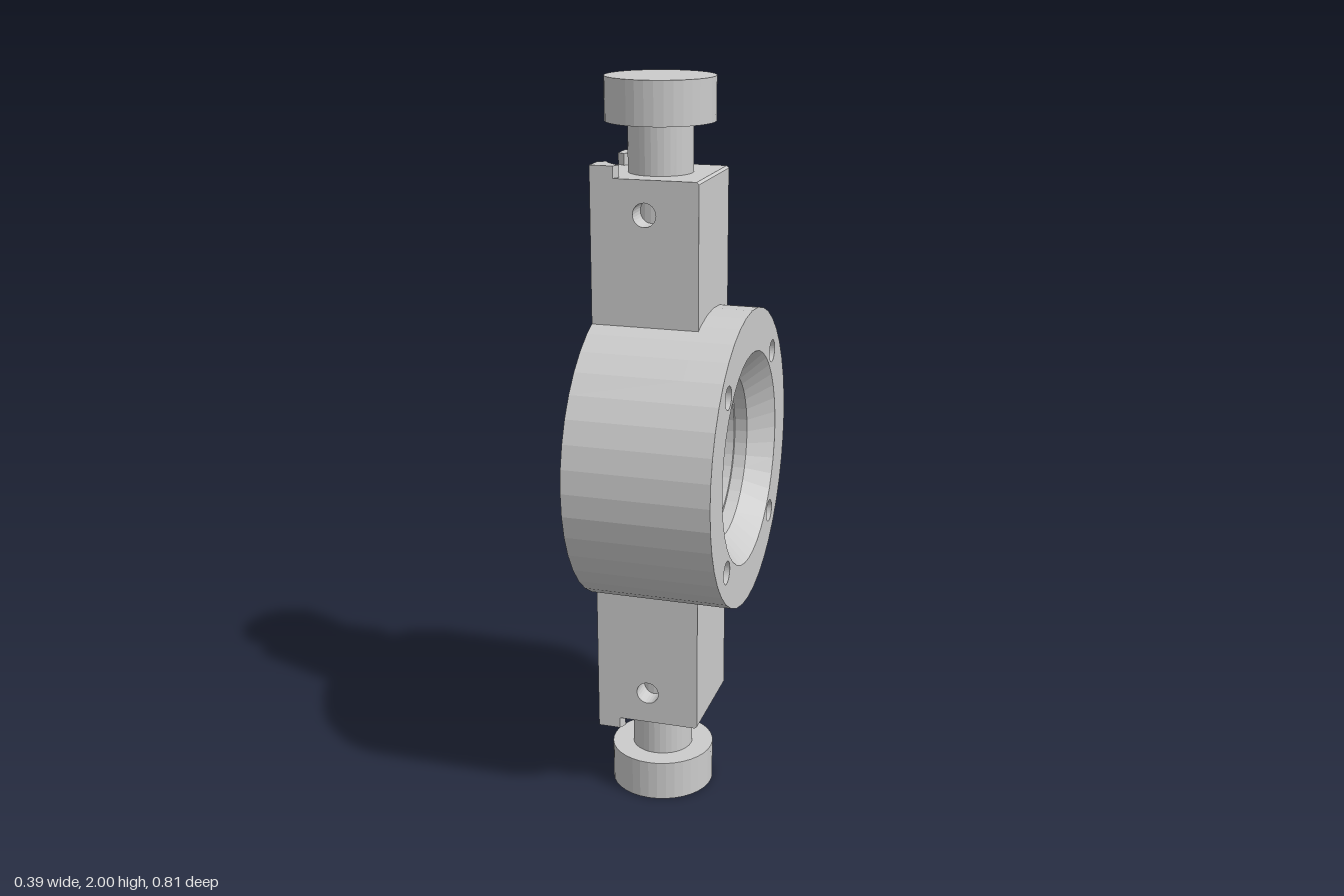
import * as THREE from 'three';

const BACK = -0.197, SEAM = 0.09, FRONT = 0.195; // stations along the bore axis (x)
const R = 0.406, ARM = 0.145, STEM_X = -0.053;

export function createModel() {
  const model = new THREE.Group();
  const mat = new THREE.MeshStandardMaterial({ color: 0xcccccc, flatShading: true });
  const dbl = new THREE.MeshStandardMaterial({ color: 0xcccccc, flatShading: true, side: THREE.DoubleSide });

  const add = (parent, name, geo, material = mat) => {
    const mesh = new THREE.Mesh(geo, material);
    mesh.name = name;
    parent.add(mesh);
    return mesh;
  };
  const hole = (shape, x, y, r) => shape.holes.push(new THREE.Path().absarc(x, y, r, 0, Math.PI * 2, true));

  // Flanged disc extruded along x, with a centre bore and four bolt holes
  const disc = (bore, x0, x1) => {
    const s = new THREE.Shape().absarc(0, 0, R, 0, Math.PI * 2, false);
    hole(s, 0, 0, bore);
    for (const a of [-1, 1]) for (const b of [-1, 1]) hole(s, a * 0.237, b * 0.237, 0.031);
    return new THREE.ExtrudeGeometry(s, { depth: x1 - x0, bevelEnabled: false, curveSegments: 20 })
      .rotateY(Math.PI / 2).translate(x0, 1, 0);
  };
  add(model, 'ringBody', disc(0.213, BACK, SEAM));
  add(model, 'ringFlange', disc(0.29, SEAM, FRONT));

  // Conical seat with a small step down to the bore
  const seat = [[0.29, FRONT], [0.223, 0.13], [0.223, 0.095], [0.213, 0.095], [0.213, SEAM]]
    .map(([r, x]) => new THREE.Vector2(r, x));
  add(model, 'conicalSeat', new THREE.LatheGeometry(seat, 40).rotateZ(-Math.PI / 2).translate(0, 1, 0), dbl);

  // One arm with its stem and knob, built upward from the ring centre
  const makeArm = () => {
    const arm = new THREE.Group();
    const y0 = 0.378, y1 = 0.757, b = 0.006;

    // Block with a cross hole through its sides
    const side = new THREE.Shape([
      [BACK, y0], [SEAM, y0], [SEAM, y1 - b], [SEAM - b, y1], [BACK, y1],
    ].map(([x, y]) => new THREE.Vector2(x, y)));
    hole(side, STEM_X, 0.668, 0.031);
    add(arm, 'armBlock', new THREE.ExtrudeGeometry(side, { depth: ARM * 2, bevelEnabled: false, curveSegments: 12 })
      .translate(0, 0, -ARM));

    // Raised corner tabs, cut back by an arc around the stem
    for (const s of [-1, 1]) {
      const pts = [[BACK, ARM], [BACK, 0.085], [-0.176, 0.07]];
      for (let i = 0; i <= 4; i++) {
        const a = Math.PI - 0.56 - i * 0.12;
        pts.push([STEM_X + 0.143 * Math.cos(a), 0.143 * Math.sin(a)]);
      }
      pts.push([-0.127, 0.13], [-0.135, ARM]);
      const tab = new THREE.Shape(pts.map(([x, z]) => new THREE.Vector2(x, s * z)));
      add(arm, 'cornerTab', new THREE.ExtrudeGeometry(tab, { depth: 0.031, bevelEnabled: false })
        .rotateX(-Math.PI / 2).translate(0, y1, 0));
    }

    // Stem and knob
    add(arm, 'stem', new THREE.CylinderGeometry(0.085, 0.085, 0.4, 32).translate(STEM_X, 0.7, 0));
    add(arm, 'knob', new THREE.CylinderGeometry(0.144, 0.144, 0.113, 36).translate(STEM_X, 0.9435, 0));
    arm.position.y = 1;
    return arm;
  };

  const upper = makeArm();
  upper.name = 'upperArm';
  const lower = makeArm();
  lower.name = 'lowerArm';
  lower.rotation.x = Math.PI;
  model.add(upper, lower);
  return model;
}
